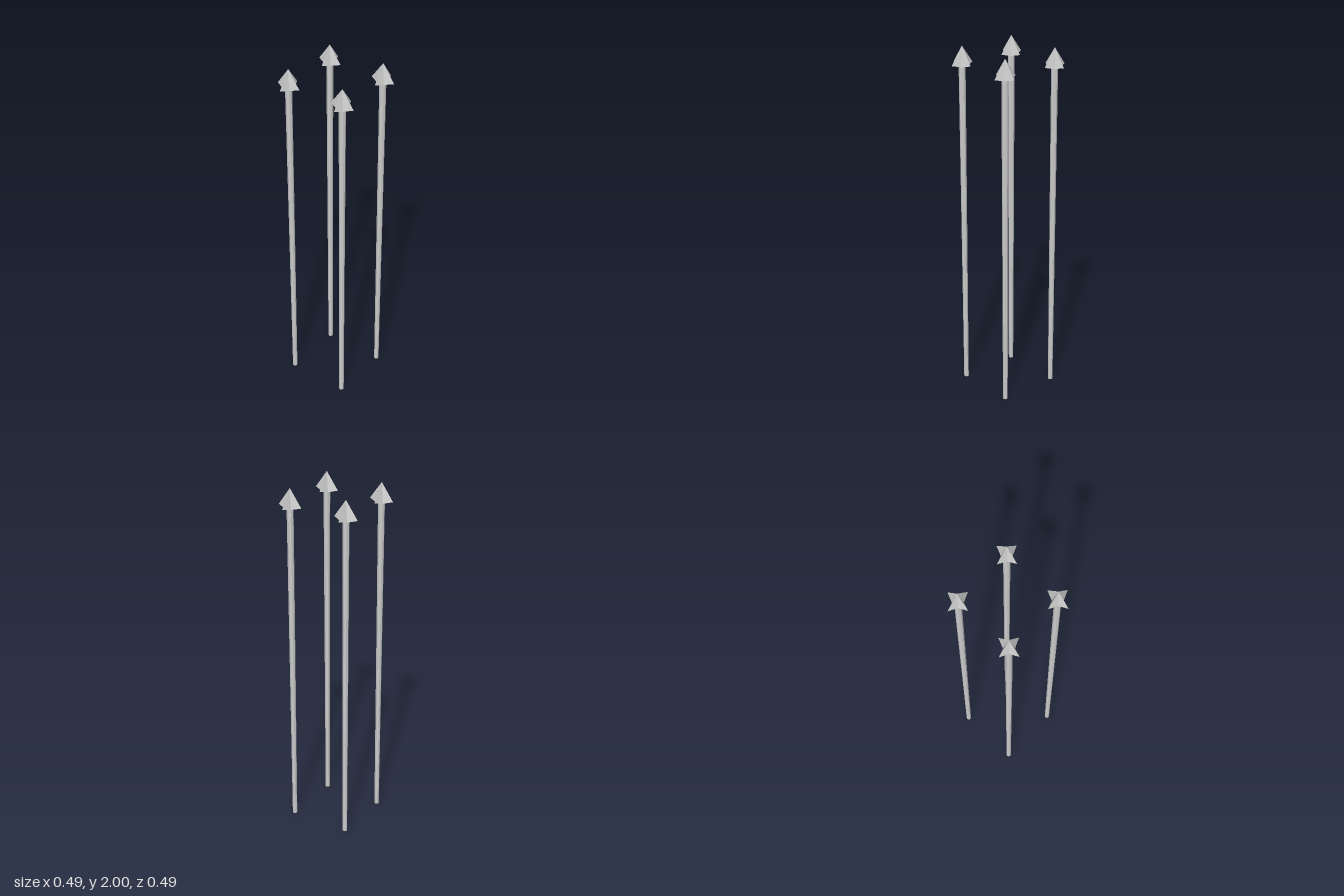
import * as THREE from 'three';

const SPACING = 0.175;
const TIP_Y = 1.9;

// Four-pointed star spearhead: raised apex above, shallow point below
function spearheadGeometry() {
  const ring = [];
  for (let i = 0; i < 8; i++) {
    const a = (i * Math.PI) / 4;
    const outer = i % 2 === 0;
    const r = outer ? 0.072 : 0.03;
    ring.push([Math.cos(a) * r, outer ? TIP_Y : TIP_Y - 0.012, Math.sin(a) * r]);
  }
  const apex = [0, 2, 0];
  const under = [0, TIP_Y - 0.016, 0];
  const positions = [];
  for (let i = 0; i < 8; i++) {
    const a = ring[i];
    const b = ring[(i + 1) % 8];
    positions.push(...apex, ...b, ...a, ...under, ...a, ...b);
  }
  const geometry = new THREE.BufferGeometry();
  geometry.setAttribute('position', new THREE.Float32BufferAttribute(positions, 3));
  geometry.computeVertexNormals();
  return geometry;
}

export function createModel() {
  const model = new THREE.Group();
  model.name = 'spears';
  const material = new THREE.MeshStandardMaterial({ color: 0xcccccc, flatShading: true });

  // Shaft widens slightly toward the head
  const shaftGeometry = new THREE.CylinderGeometry(0.019, 0.0135, TIP_Y, 8);
  shaftGeometry.translate(0, TIP_Y / 2, 0);
  const headGeometry = spearheadGeometry();

  // One spear at each corner of a square
  for (const x of [-1, 1]) {
    for (const z of [-1, 1]) {
      const spear = new THREE.Group();
      spear.name = `${z > 0 ? 'front' : 'back'}${x > 0 ? 'Left' : 'Right'}Spear`;
      const shaft = new THREE.Mesh(shaftGeometry, material);
      shaft.name = 'shaft';
      const head = new THREE.Mesh(headGeometry, material);
      head.name = 'spearhead';
      spear.add(shaft, head);
      spear.position.set(x * SPACING, 0, z * SPACING);
      model.add(spear);
    }
  }
  return model;
}
